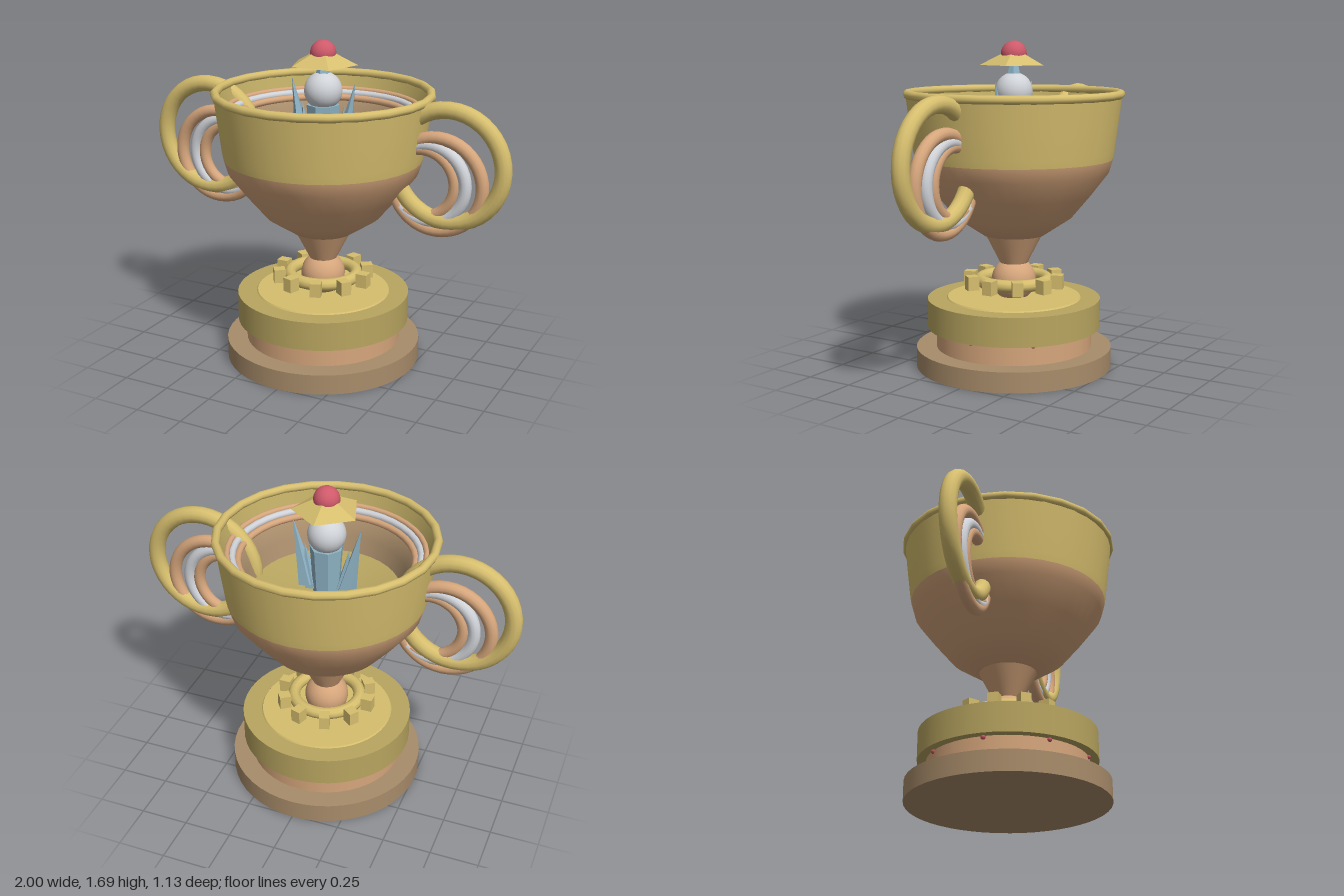
import * as THREE from 'three';

const mat = (name, color, extra = {}) => {
  const m = new THREE.MeshStandardMaterial({ color, ...extra });
  m.name = name;
  return m;
};

export function createModel() {
  const group = new THREE.Group();
  group.name = 'trophyCup';

  const gold = mat('gold', 0xd6be6e);
  const darkGold = mat('dark gold', 0xb8a560);
  const copper = mat('copper', 0xd6a67c);
  const bronze = mat('bronze', 0xa88c6a);
  const silver = mat('silver', 0xd0d3d8);
  const crystal = mat('crystal blue', 0x8fb4c6);
  const red = mat('ruby red', 0xcf5a6a);

  const add = (name, geo, material, x = 0, y = 0, z = 0) => {
    const mesh = new THREE.Mesh(geo, material);
    mesh.name = name;
    mesh.position.set(x, y, z);
    group.add(mesh);
    return mesh;
  };
  const drum = (name, r0, r1, y0, y1, material, sides = 48) =>
    add(name, new THREE.CylinderGeometry(r1, r0, y1 - y0, sides), material, 0, (y0 + y1) / 2, 0);
  const lathe = (name, pts, material) =>
    add(name, new THREE.LatheGeometry(pts.map(([r, y]) => new THREE.Vector2(r, y)), 40), material);
  const ring = (name, R, tube, y, material, sides = 24) => {
    const m = add(name, new THREE.TorusGeometry(R, tube, 10, sides), material, 0, y, 0);
    m.rotation.x = Math.PI / 2;
    return m;
  };
  const flat = (geo) => {
    const g = geo.toNonIndexed();
    g.computeVertexNormals();
    return g;
  };

  // Stepped base
  drum('baseFoot', 0.51, 0.51, 0, 0.105, bronze);
  drum('baseMiddle', 0.405, 0.405, 0.105, 0.21, copper);
  drum('baseTop', 0.45, 0.45, 0.21, 0.36, darkGold);
  drum('baseTopPlate', 0.35, 0.345, 0.36, 0.367, gold);
  for (let i = 0; i < 8; i++) {
    const a = (i * Math.PI) / 4;
    add('baseGem', new THREE.SphereGeometry(0.013, 8, 6), red,
      Math.cos(a) * 0.405, 0.205, Math.sin(a) * 0.405);
  }

  // Stem: ball, toothed collar and flaring neck
  add('stemBall', new THREE.SphereGeometry(0.115, 24, 16), copper, 0, 0.455, 0);
  ring('collarRing', 0.175, 0.032, 0.452, gold, 32);
  for (let i = 0; i < 10; i++) {
    const a = (i * Math.PI) / 5;
    const tooth = add('collarTooth', new THREE.BoxGeometry(0.06, 0.072, 0.055), gold,
      Math.cos(a) * 0.232, 0.452, Math.sin(a) * 0.232);
    tooth.rotation.y = -a;
  }
  drum('neck', 0.07, 0.147, 0.54, 0.692, copper, 32);

  // Bowl, outside
  lathe('bowlLower', [[0, 0.69], [0.16, 0.692], [0.3, 0.785], [0.4, 0.905], [0.488, 1.02], [0.508, 1.09]], copper);
  lathe('bowlUpper', [[0.508, 1.09], [0.515, 1.13], [0.533, 1.27], [0.55, 1.41]], gold);
  ring('bowlRim', 0.544, 0.022, 1.418, gold);

  // Bowl, inside
  lathe('bowlInnerLip', [[0.54, 1.42], [0.515, 1.37], [0.485, 1.31]], darkGold);
  lathe('bowlInnerWall', [[0.485, 1.31], [0.43, 1.28], [0.4, 1.2], [0.37, 1.12]], bronze);
  lathe('bowlFloor', [[0.375, 1.125], [0.2, 1.085], [0, 1.05]], darkGold);
  ring('innerBandOuter', 0.492, 0.015, 1.335, copper, 40);
  ring('innerBandMiddle', 0.468, 0.019, 1.318, silver, 40);
  ring('innerBandInner', 0.44, 0.018, 1.298, copper, 40);

  // Nested ring handles, one set each side
  const handles = [
    ['handleOuter', 0.676, 1.12, 0.281, 0.043, gold],
    ['handleSecond', 0.622, 1.023, 0.235, 0.033, copper],
    ['handleThird', 0.575, 1.023, 0.195, 0.032, silver],
    ['handleInner', 0.545, 1.023, 0.17, 0.03, copper],
  ];
  for (const side of [-1, 1]) {
    for (const [name, x, y, R, tube, m] of handles) {
      add(name, new THREE.TorusGeometry(R, tube, 12, 40), m, side * x, y, 0);
    }
  }

  // Crystal centrepiece standing in the bowl
  add('crystalColumn', flat(new THREE.CylinderGeometry(0.085, 0.065, 0.32, 7)), crystal, 0, 1.2, 0);
  for (const side of [-1, 1]) {
    const spike = add('crystalSpike', flat(new THREE.ConeGeometry(0.05, 0.36, 5)), crystal, side * 0.142, 1.31, 0);
    spike.rotation.z = -side * 0.2;
    const small = add('crystalSmallSpike', flat(new THREE.ConeGeometry(0.04, 0.25, 5)), crystal, side * 0.1, 1.24, 0);
    small.rotation.z = -side * 0.15;
  }
  add('silverBall', new THREE.SphereGeometry(0.097, 20, 14), silver, 0, 1.43, 0);
  add('crystalTip', flat(new THREE.CylinderGeometry(0.018, 0.038, 0.09, 6)), crystal, 0, 1.555, 0);

  // Five-sided cap and ruby
  const cap = add('cap', flat(new THREE.CylinderGeometry(0.05, 0.175, 0.062, 5)), gold, 0, 1.594, 0);
  cap.rotation.y = Math.PI;
  add('ruby', new THREE.SphereGeometry(0.066, 20, 8, 0, Math.PI * 2, 0, Math.PI * 0.55), red, 0, 1.62, 0);

  return group;
}
